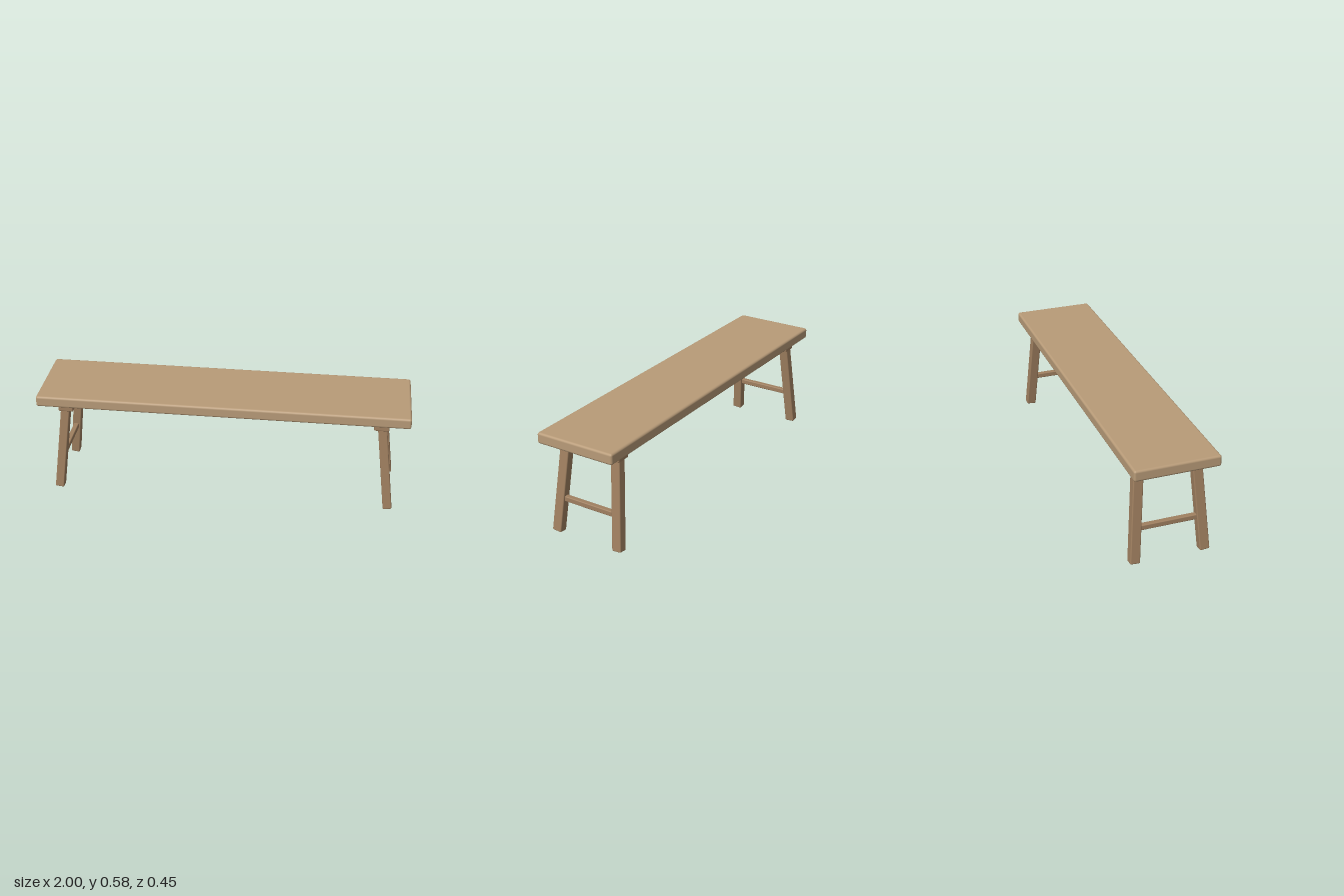
import * as THREE from 'three';
import { RoundedBoxGeometry } from 'three/addons/geometries/RoundedBoxGeometry.js';

export function createModel() {
  const bench = new THREE.Group();
  bench.name = 'bench';
  const seatWood = new THREE.MeshStandardMaterial({ color: 0xb89b78 });
  const frameWood = new THREE.MeshStandardMaterial({ color: 0xa08060 });

  // A plank with softly rounded edges
  const plank = (name, [w, h, d], [x, y, z], radius, material = frameWood) => {
    const mesh = new THREE.Mesh(new RoundedBoxGeometry(w, h, d, 2, radius), material);
    mesh.name = name;
    mesh.position.set(x, y, z);
    bench.add(mesh);
    return mesh;
  };

  // Seat board and the long rail under it
  plank('seat', [2, 0.06, 0.45], [0, 0.555, 0], 0.012, seatWood);
  plank('centreRail', [1.72, 0.074, 0.036], [0, 0.488, 0], 0.006);

  // Splayed legs: centre line runs from foot to cleat
  const foot = new THREE.Vector3(0.913, 0.005, 0.188);
  const head = new THREE.Vector3(0.853, 0.5, 0.153);
  const middle = foot.clone().add(head).multiplyScalar(0.5);
  const axis = head.clone().sub(foot);

  for (const sx of [1, -1]) {
    const side = sx > 0 ? 'left' : 'right';
    plank(side + 'Cleat', [0.08, 0.041, 0.372], [sx * 0.85, 0.502, 0], 0.006);
    plank(side + 'Stretcher', [0.028, 0.029, 0.32], [sx * 0.891, 0.193, 0], 0.005);
    for (const sz of [1, -1]) {
      const leg = plank(side + (sz > 0 ? 'FrontLeg' : 'BackLeg'),
        [0.048, axis.length(), 0.053], [sx * middle.x, middle.y, sz * middle.z], 0.006);
      leg.rotation.set(sz * Math.atan2(axis.z, axis.y), 0, -sx * Math.atan2(axis.x, axis.y));
    }
  }
  return bench;
}
